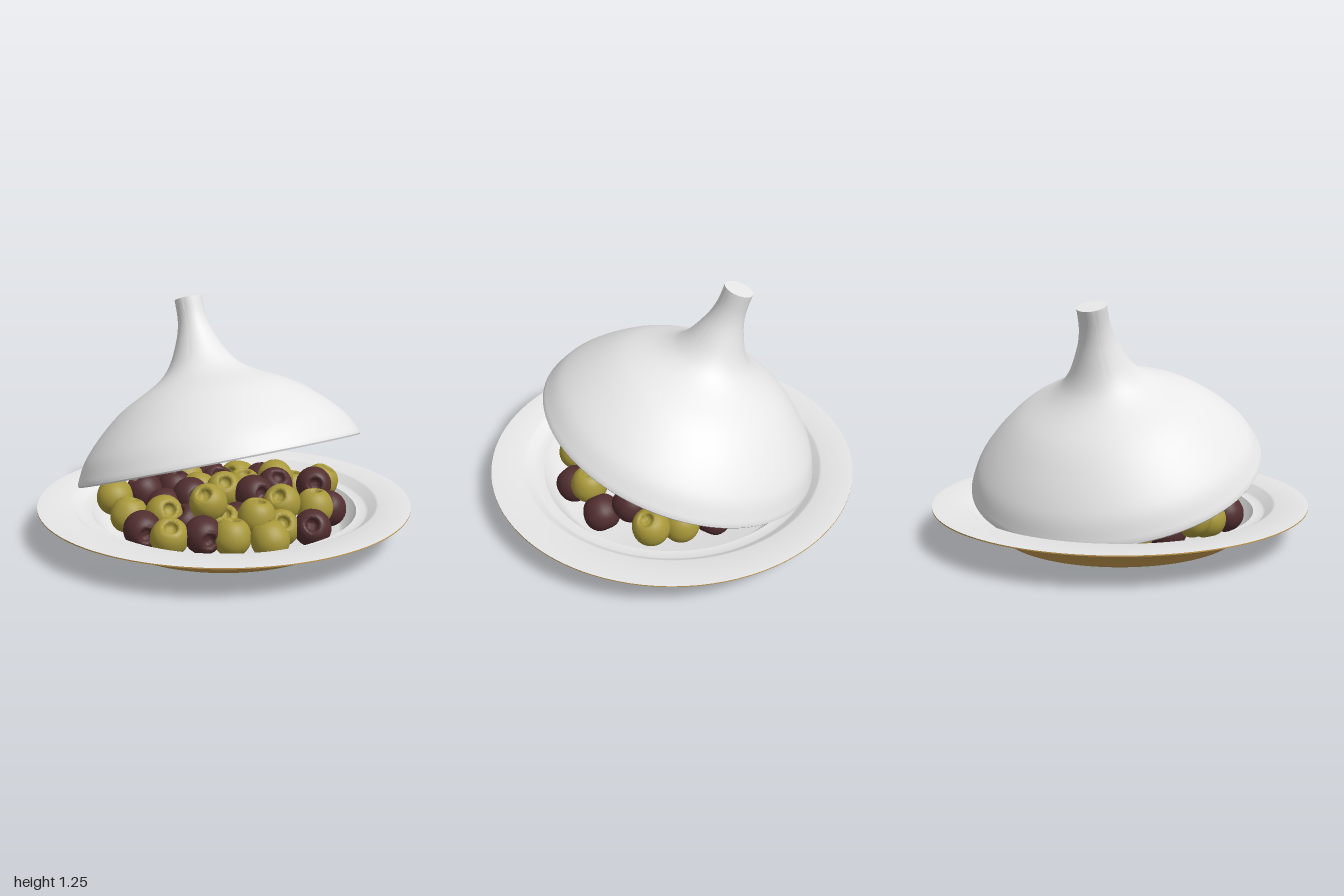
import * as THREE from 'three';
import { toCreasedNormals } from 'three/addons/utils/BufferGeometryUtils.js';

const flat = (name, color) => {
  const m = new THREE.MeshStandardMaterial({ color });
  m.name = name;
  return m;
};

// Surface of revolution; only edges sharper than the crease stay hard
function turned(points, segments, crease = 0.6) {
  const pts = points.map(([r, y]) => new THREE.Vector2(r, y));
  return toCreasedNormals(new THREE.LatheGeometry(pts, segments), crease);
}

// Smooth profile through a few points
const smooth = (points, n) =>
  new THREE.SplineCurve(points.map(([r, y]) => new THREE.Vector2(r, y)))
    .getPoints(n).map(p => [Math.max(p.x, 0), p.y]);

export function createModel() {
  const model = new THREE.Group();
  const glaze = flat('pale glaze', 0xe8e8e8);
  const clay = flat('brown clay', 0xc69a50);
  const green = flat('olive green', 0xa8983a);
  const purple = flat('dark purple', 0x522e30);

  const add = (parent, name, geometry, material) => {
    const mesh = new THREE.Mesh(geometry, material);
    mesh.name = name;
    parent.add(mesh);
    return mesh;
  };

  // Dish: clay underside with a thin rim edge, and glazed upper side
  const dish = new THREE.Group();
  dish.name = 'dish';
  model.add(dish);
  add(dish, 'dishUnderside', turned([
    [0, 0], [0.625, 0], [0.638, 0.001], [0.655, 0.015], [0.725, 0.115], [0.775, 0.122],
    [0.82, 0.16], [0.86, 0.17], [0.88, 0.171], [1, 0.172], [1, 0.178],
  ], 96, 1.1), clay);
  add(dish, 'dishTop', turned([
    [1, 0.178], [0.83, 0.178], [0.818, 0.173], [0.778, 0.137], [0.765, 0.131], [0.715, 0.13],
    [0.645, 0.03], [0.625, 0.02], [0, 0.02],
  ], 96), glaze);

  // Lid: flared cone with a neck, leaning back on the dish
  const lid = new THREE.Group();
  lid.name = 'lid';
  lid.position.set(-0.035, 0.37, -0.03);
  lid.quaternion.setFromUnitVectors(
    new THREE.Vector3(0, 1, 0), new THREE.Vector3(-0.259, 0.947, -0.187).normalize());
  model.add(lid);
  const outer = smooth([
    [0.773, 0.008], [0.762, 0.04], [0.708, 0.137], [0.596, 0.256], [0.46, 0.363], [0.265, 0.467],
    [0.175, 0.55], [0.108, 0.685], [0.08, 0.79], [0.076, 0.902],
  ], 60);
  add(lid, 'lidOutside', turned([[0.758, 0], [0.768, 0], ...outer, [0, 0.902]], 96), glaze);
  const inner = smooth([
    [0, 0.52], [0.13, 0.505], [0.255, 0.45], [0.45, 0.345], [0.585, 0.237], [0.695, 0.125], [0.758, 0],
  ], 36);
  add(lid, 'lidInside', turned(inner, 96), glaze);

  // Olive: plump, slightly tapered barrel with a pitted end
  const oliveShape = turned(smooth([
    [0, -0.09], [0.05, -0.084], [0.086, -0.048], [0.098, 0], [0.084, 0.055],
    [0.055, 0.086], [0.036, 0.086], [0.026, 0.062], [0, 0.05],
  ], 24), 24, 1.2);

  const olives = new THREE.Group();
  olives.name = 'olives';
  olives.rotation.y = 0.61;
  model.add(olives);

  let seed = 11;
  const random = () => (seed = (seed * 16807) % 2147483647) / 2147483647;
  const addOlive = (x, y, z, material) => {
    const olive = add(olives, material === green ? 'greenOlive' : 'purpleOlive', oliveShape, material);
    olive.position.set(x, y, z);
    olive.rotation.set(random() * 1.8 - 0.3, random() * 6.28, random() * 1.6 - 0.8);
  };

  // Olives in the open front of the dish
  [
    [0.07, 0.12, 0.55], [-0.1, 0.12, 0.46], [-0.4, 0.125, 0.38], [-0.09, 0.13, 0.28],
    [0.05, 0.19, 0.4], [0.22, 0.22, 0.31], [0.39, 0.19, 0.34], [-0.17, 0.25, 0.28],
    [-0.38, 0.18, 0.18], [-0.54, 0.15, 0.07], [0.6, 0.185, -0.08], [-0.03, 0.25, 0.1],
    [0.32, 0.24, -0.07], [-0.58, 0.2, -0.1], [0.18, 0.12, 0.4],
  ].forEach(p => addOlive(...p, green));
  [
    [0.335, 0.12, 0.45], [-0.51, 0.135, 0.26], [0.52, 0.13, 0.22], [-0.235, 0.13, 0.41],
    [0.5, 0.22, 0.06], [0.1, 0.25, 0.2], [0.25, 0.25, 0.11], [-0.2, 0.22, 0.05],
    [-0.34, 0.17, 0.04], [-0.41, 0.21, -0.13], [-0.24, 0.21, -0.13], [-0.27, 0.13, 0.22],
  ].forEach(p => addOlive(...p, purple));

  // Rings of olives under the lid: [count, radius, height, start, sweep]
  [
    [8, 0.51, 0.12, 0.4, 2.4], [5, 0.34, 0.18, 0.6, 1.8], [3, 0.14, 0.2, 0.4, 2.3],
    [8, 0.25, 0.12, 0, 5.5],
  ].forEach(([count, radius, height, start, sweep], ring) => {
    for (let i = 0; i < count; i++) {
      const a = start + (sweep * i) / (count - 1);
      addOlive(radius * Math.cos(a), height + random() * 0.015, -radius * Math.sin(a),
        (i + ring) % 2 ? purple : green);
    }
  });

  return model;
}
